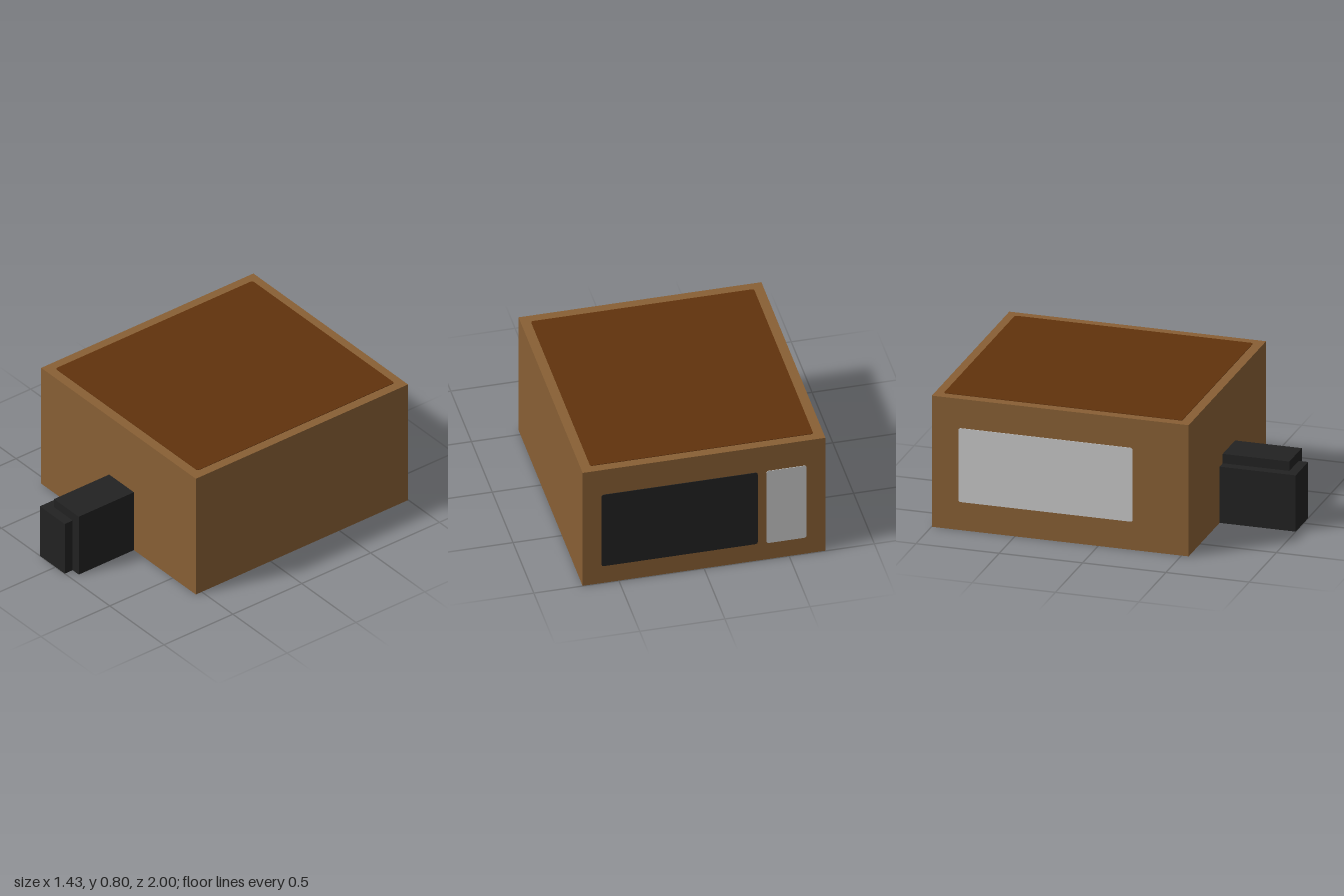
import * as THREE from 'three';

const material = (name, color) => {
  const m = new THREE.MeshStandardMaterial({ color });
  m.name = name;
  return m;
};

// Box given by its lower and upper corners
function box(name, mat, [x0, y0, z0], [x1, y1, z1]) {
  const mesh = new THREE.Mesh(new THREE.BoxGeometry(x1 - x0, y1 - y0, z1 - z0), mat);
  mesh.position.set((x0 + x1) / 2, (y0 + y1) / 2, (z0 + z1) / 2);
  mesh.name = name;
  return mesh;
}

// Thin plate with small rounded corners, facing +z until rotated
function plate(name, mat, w, h, r = 0.015) {
  const a = w / 2, b = h / 2;
  const s = new THREE.Shape();
  s.moveTo(-a + r, -b);
  s.lineTo(a - r, -b).quadraticCurveTo(a, -b, a, -b + r);
  s.lineTo(a, b - r).quadraticCurveTo(a, b, a - r, b);
  s.lineTo(-a + r, b).quadraticCurveTo(-a, b, -a, b - r);
  s.lineTo(-a, -b + r).quadraticCurveTo(-a, -b, -a + r, -b);
  const geo = new THREE.ExtrudeGeometry(s, { depth: 0.003, bevelEnabled: false, curveSegments: 4 });
  const mesh = new THREE.Mesh(geo, mat);
  mesh.name = name;
  return mesh;
}

export function createModel() {
  const wood = material('brown wall', 0x885f34);
  const darkWood = material('dark brown roof', 0x61320c);
  const black = material('black', 0x222222);
  const grey = material('light grey', 0xc8c8c8);

  const group = new THREE.Group();
  const W = 0.713, H = 0.8, BACK = -0.998, FRONT = 0.543;

  // Main block
  group.add(box('body', wood, [-W, 0, BACK], [W, H, FRONT]));

  // Inset roof panel
  const roof = plate('roofPanel', darkWood, 1.31, 1.43);
  roof.rotation.x = -Math.PI / 2;
  roof.position.set(0, H, -0.23);
  group.add(roof);

  // Two staggered blocks on the front
  group.add(box('frontBlockTall', black, [-0.086, 0, FRONT], [0.142, 0.4, 0.943]));
  group.add(box('frontBlockLow', black, [-0.144, 0, FRONT], [0.085, 0.343, 1]));

  // Back panels: wide black one and narrow grey one
  for (const [name, mat, x0, x1, y0, y1] of [
    ['backWidePanel', black, -0.315, 0.602, 0.12, 0.625],
    ['backNarrowPanel', grey, -0.602, -0.367, 0.115, 0.625],
  ]) {
    const p = plate(name, mat, x1 - x0, y1 - y0);
    p.rotation.y = Math.PI;
    p.position.set((x0 + x1) / 2, (y0 + y1) / 2, BACK);
    group.add(p);
  }

  // Grey panel on the -x side
  const side = plate('sidePanel', grey, 1.045, 0.45);
  side.rotation.y = -Math.PI / 2;
  side.position.set(-W, 0.397, -0.315);
  group.add(side);

  return group;
}
